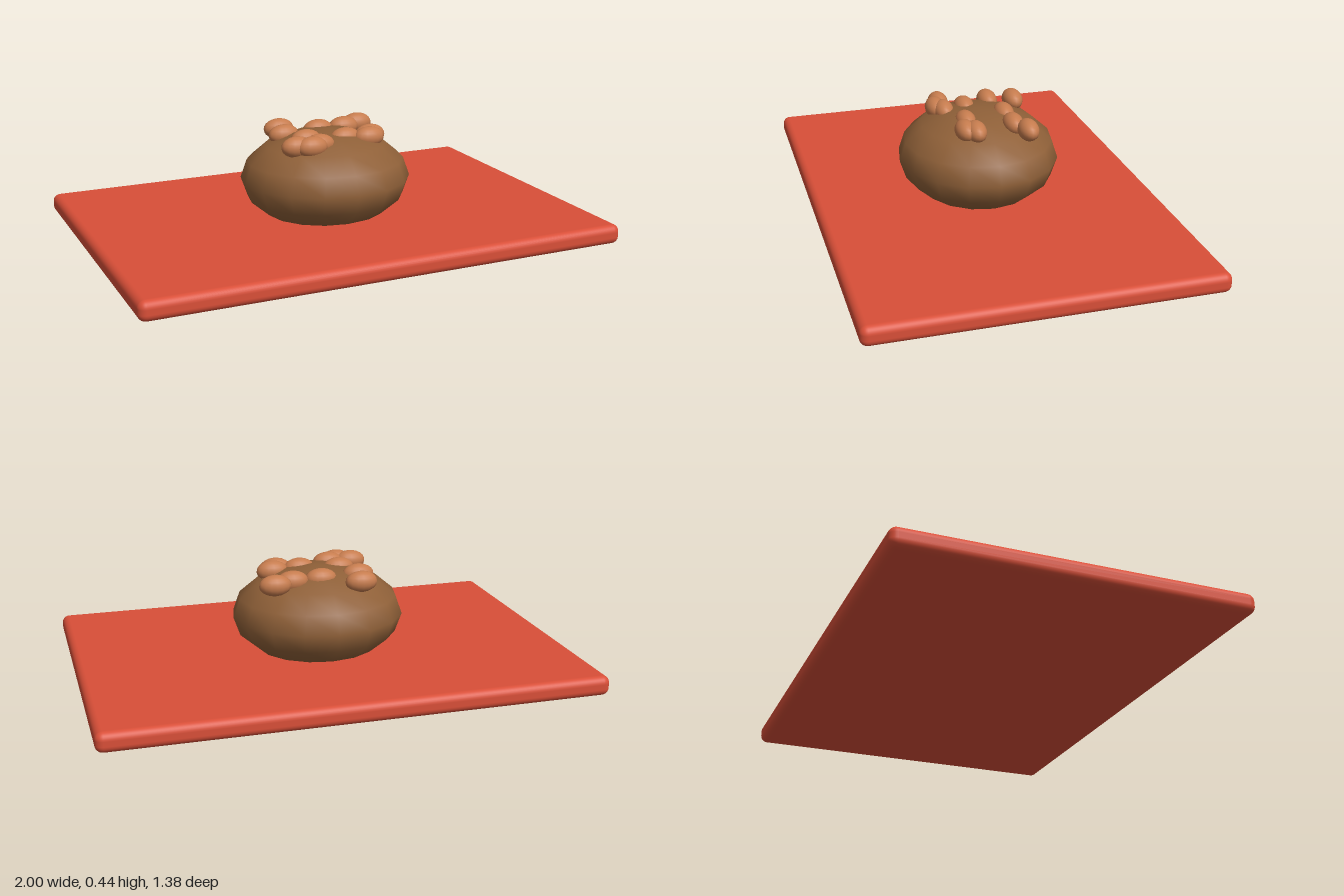
import * as THREE from 'three';
import { RoundedBoxGeometry } from 'three/addons/geometries/RoundedBoxGeometry.js';

export function createModel() {
  const model = new THREE.Group();
  const material = (name, color) => {
    const m = new THREE.MeshStandardMaterial({ color });
    m.name = name;
    return m;
  };
  const red = material('boardRed', 0xd94f38);
  const brown = material('loafBrown', 0x8f6038);
  const tan = material('nutTan', 0xc67c4e);

  const add = (name, geometry, mat, x, y, z) => {
    const mesh = new THREE.Mesh(geometry, mat);
    mesh.name = name;
    mesh.position.set(x, y, z);
    model.add(mesh);
  };

  // Serving board with rounded edges
  add('board', new RoundedBoxGeometry(2, 0.08, 1.38, 4, 0.03), red, 0, 0.04, 0);

  // Squashed round loaf, sunk slightly into the board
  add('loaf', new THREE.SphereGeometry(1, 16, 8).scale(0.355, 0.2, 0.33), brown, 0, 0.225, 0);

  // Nuts scattered over the top, as [x, z]
  const nut = new THREE.SphereGeometry(1, 16, 12).scale(0.066, 0.043, 0.042);
  const spots = [
    [-0.13, -0.19], [-0.15, -0.083], [0.015, -0.108], [0.135, -0.112], [0.215, -0.15],
    [-0.1, 0.03], [0.06, 0.066], [0.177, 0.055], [0.155, 0.093],
    [-0.178, 0.123], [-0.082, 0.123], [-0.123, 0.148],
  ];
  spots.forEach(([x, z], i) => add(`nut${i + 1}`, nut, tan, x, 0.397, z));

  return model;
}
